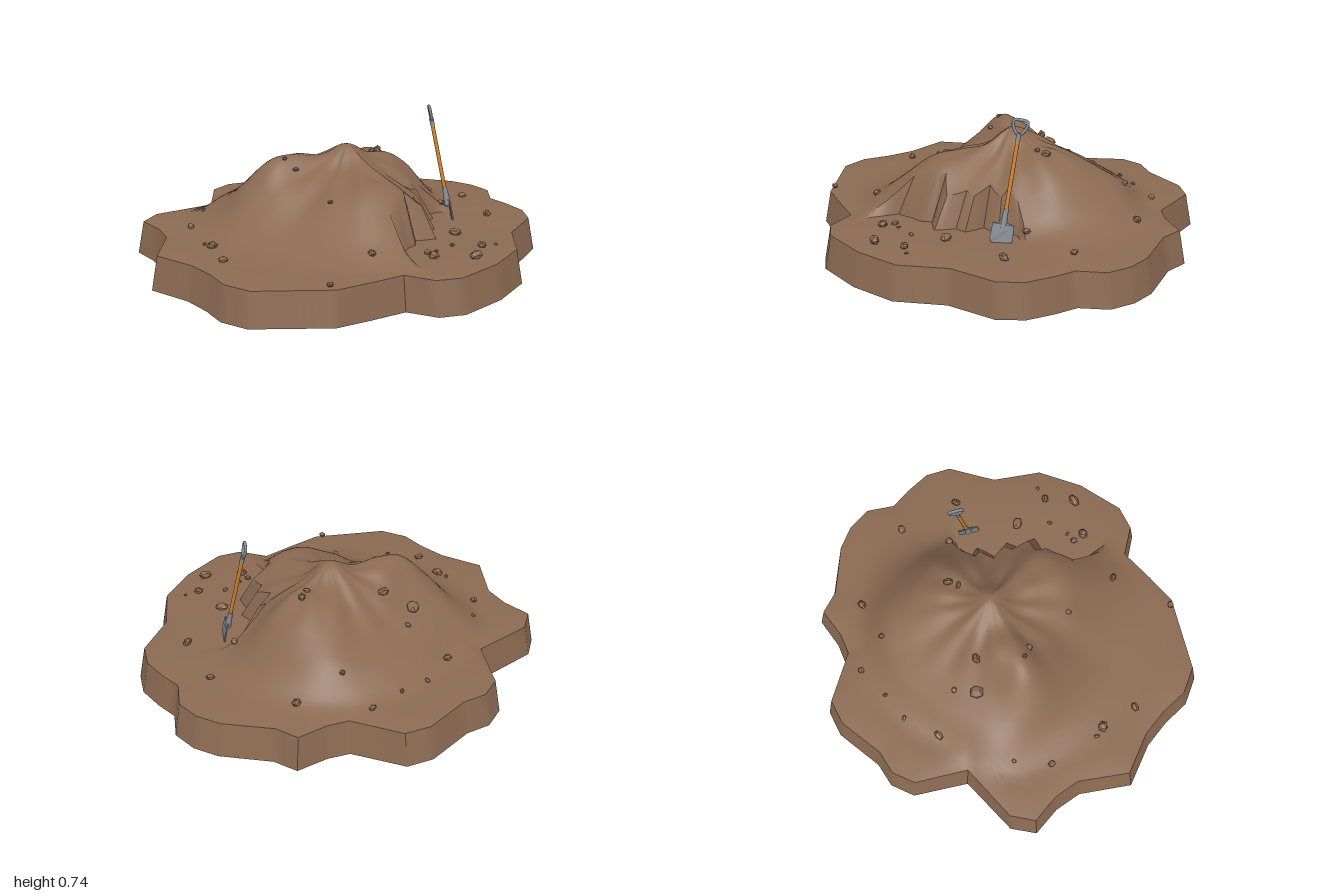
import * as THREE from 'three';
import { toCreasedNormals } from 'three/addons/utils/BufferGeometryUtils.js';

const earth = new THREE.MeshStandardMaterial({ color: 0x8b6a52, side: THREE.DoubleSide });
earth.name = 'earth brown';
const wood = new THREE.MeshStandardMaterial({ color: 0xd0802c });
wood.name = 'handle orange';
const metal = new THREE.MeshStandardMaterial({ color: 0x858b93, side: THREE.DoubleSide });
metal.name = 'steel grey';

// Summit position: everything radial is measured from here
const CX = 0.05, CZ = -0.03, DEG = Math.PI / 180;

// Wavy outer edge of the slab at y = 0 (x, z)
const outline = [
  [-0.12, -0.945], [0, -0.915], [0.25, -0.935], [0.375, -0.89], [0.5, -0.65], [0.6, -0.605], [0.755, -0.575],
  [0.79, -0.455], [0.95, -0.25], [0.995, -0.13], [0.998, 0], [0.915, 0.12], [0.92, 0.235], [0.91, 0.375],
  [0.845, 0.49], [0.62, 0.61], [0.465, 0.81], [0.245, 0.905], [0, 0.945], [-0.12, 0.9], [-0.2, 0.765],
  [-0.385, 0.75], [-0.555, 0.73], [-0.875, 0.515], [-0.93, 0.38], [-0.92, 0.235], [-0.93, 0.085], [-1, -0.13],
  [-0.84, -0.34], [-0.81, -0.475], [-0.815, -0.63], [-0.705, -0.7], [-0.395, -0.68], [-0.24, -0.905]];

// Mound heights every 22.5 degrees from +x towards +z, at radii 0.13, 0.26, 0.39, 0.52, 0.65
const profiles = [
  [0.50, 0.47, 0.385, 0.24, 0.19], [0.48, 0.42, 0.31, 0.20, 0.185],
  [0.47, 0.38, 0.31, 0.24, 0.19], [0.47, 0.41, 0.34, 0.28, 0.20],
  [0.505, 0.46, 0.43, 0.32, 0.22], [0.48, 0.455, 0.43, 0.34, 0.24],
  [0.47, 0.43, 0.38, 0.28, 0.21], [0.47, 0.42, 0.34, 0.25, 0.20],
  [0.495, 0.455, 0.41, 0.30, 0.215], [0.51, 0.53, 0.505, 0.38, 0.235],
  [0.505, 0.49, 0.40, 0.33, 0.26], [0.505, 0.435, 0.35, 0.29, 0.195],
  [0.51, 0.42, 0.34, 0.27, 0.19], [0.50, 0.43, 0.36, 0.29, 0.195],
  [0.50, 0.47, 0.41, 0.33, 0.205], [0.50, 0.48, 0.415, 0.29, 0.20]];

// Foot of the jagged dug-out wall (degrees, radius)
const cut = [[24.9, 0.46], [32.5, 0.395], [37.5, 0.43], [50, 0.375], [57.5, 0.46], [65, 0.45],
  [72.5, 0.53], [82.5, 0.475], [87.5, 0.52], [92.5, 0.53], [100.5, 0.58]];

const spline = (a, b, c, d, t) =>
  b + 0.5 * t * (c - a + t * (2 * a - 5 * b + 4 * c - d + t * (3 * (b - c) + d - a)));

function moundHeight(deg, r) {
  const s = deg / 22.5, i = Math.floor(s), u = Math.min(r / 0.13, 7.999), k = Math.floor(u);
  const at = (n) => {
    if (n === 0) return 0.565;
    if (n < 0) n = -n;
    if (n > 5) return 0.18;
    const row = (m) => profiles[(m + 32) % 16][n - 1];
    return spline(row(i - 1), row(i), row(i + 1), row(i + 2), s - i);
  };
  const h = spline(at(k - 1), at(k), at(k + 1), at(k + 2), u - k);
  // shallow gullies running down from the summit
  const gully = 0.005 * Math.cos(deg * DEG * 13) * Math.sin(Math.PI * Math.min(1, r / 0.5)) ** 2;
  return Math.max(0.178, h + gully);
}

function cutRadius(deg) {
  for (let i = 0; i + 1 < cut.length; i++) {
    const [a, ra] = cut[i], [b, rb] = cut[i + 1];
    if (deg >= a && deg <= b) return ra + (rb - ra) * (deg - a) / (b - a);
  }
  return null;
}

function edgeRadius(deg) {
  const dx = Math.cos(deg * DEG), dz = Math.sin(deg * DEG);
  let best = 0;
  outline.forEach(([x, z], i) => {
    const [x2, z2] = outline[(i + 1) % outline.length];
    const ex = x2 - x, ez = z2 - z, px = x - CX, pz = z - CZ, det = dx * ez - dz * ex;
    const t = (px * ez - pz * ex) / det, s = (px * dz - pz * dx) / det;
    if (t > 0 && s > -1e-6 && s < 1 + 1e-6) best = Math.max(best, t);
  });
  return best;
}

function toPolar(x, z) {
  return [(Math.atan2(z - CZ, x - CX) / DEG + 360) % 360, Math.hypot(x - CX, z - CZ)];
}

function surfaceHeight(x, z) {
  const [deg, r] = toPolar(x, z), wall = cutRadius(deg);
  return wall && r > wall ? 0.18 : moundHeight(deg, r);
}

// Skin a set of radial columns, each a list of points from inside to outside
function skin(columns, crease) {
  const pos = [], idx = [], n = columns[0].length;
  columns.forEach((c) => c.forEach((p) => pos.push(...p)));
  columns.forEach((_, j) => {
    const j2 = (j + 1) % columns.length;
    for (let k = 0; k + 1 < n; k++) {
      const a = j * n + k, b = j2 * n + k;
      if (columns[j][k][0] !== columns[j2][k][0] || columns[j][k][2] !== columns[j2][k][2]) idx.push(a, b, a + 1);
      idx.push(b, b + 1, a + 1);
    }
  });
  const g = new THREE.BufferGeometry();
  g.setAttribute('position', new THREE.Float32BufferAttribute(pos, 3));
  g.setIndex(idx);
  return toCreasedNormals(g, crease);
}

function add(parent, name, geometry, material) {
  const mesh = new THREE.Mesh(geometry, material);
  mesh.name = name;
  parent.add(mesh);
  return mesh;
}

function buildTerrain(root) {
  // every corner of the rim, plus regular directions that do not crowd the corners
  const corners = outline.map(([x, z]) => toPolar(x, z)[0]);
  const regular = [...Array(144).keys()].map((i) => i * 2.5);
  const angles = corners.concat(regular.filter((a) => corners.every((c) => Math.abs(a - c) > 0.8)));
  angles.sort((a, b) => a - b);
  const top = [], skirt = [];
  for (const deg of angles) {
    const point = (r, y) => [CX + r * Math.cos(deg * DEG), y, CZ + r * Math.sin(deg * DEG)];
    // away from the cut the ring radius eases from one end of the wall to the other
    const wall = cutRadius(deg), outer = wall || 0.58 - 0.12 * ((deg + 260) % 360) / 285, inner = outer - 0.085;
    const edge = edgeRadius(deg), rim = edge - 0.032, column = [];
    for (let k = 0; k <= 18; k++) column.push(point(inner * k / 18, moundHeight(deg, inner * k / 18)));
    for (let k = 0; k <= 12; k++) {
      const t = k / 12, r = outer + (rim - outer) * t;
      const y = wall ? 0.18 : moundHeight(deg, r);
      column.push(point(r, y + (0.165 - y) * t ** 4));
    }
    top.push(column);
    skirt.push([point(rim, 0.165), point(edge, 0)]);
  }
  add(root, 'moundAndGround', skin(top, 0.6), earth);
  add(root, 'slabSkirt', skin(skirt, 0.75), earth);
}

// Stones (x, z, size)
const stones = [
  [-0.16, -0.63, 0.026], [0.03, -0.68, 0.014], [0.18, -0.66, 0.012], [0.36, -0.65, 0.018], [0.38, -0.47, 0.02],
  [0.6, -0.4, 0.024], [-0.085, -0.435, 0.015], [-0.18, -0.375, 0.034], [-0.08, -0.27, 0.028], [-0.66, -0.355, 0.021],
  [-0.52, -0.475, 0.012], [-0.72, -0.045, 0.026], [-0.73, -0.1, 0.014], [-0.77, 0.14, 0.023], [-0.26, -0.12, 0.013],
  [-0.235, -0.06, 0.017], [0.23, -0.065, 0.018], [0.28, -0.085, 0.024], [0.75, 0.04, 0.022], [0.51, 0.15, 0.02],
  [0.65, 0.345, 0.026], [0.33, 0.475, 0.032], [0.05, 0.605, 0.018], [0.04, 0.665, 0.025], [0.1, 0.61, 0.011],
  [0.21, 0.595, 0.014], [0.32, 0.68, 0.022], [0.39, 0.7, 0.01], [0.2, 0.775, 0.033], [-0.245, 0.57, 0.021],
  [-0.235, 0.23, 0.016], [-0.55, 0.675, 0.017]];

function buildStones(root) {
  const group = new THREE.Group();
  group.name = 'looseStones';
  stones.forEach(([x, z, s], i) => {
    const stone = add(group, 'stone', new THREE.IcosahedronGeometry(s), earth);
    stone.scale.set(1.1, 0.6 + 0.1 * (i % 3), 0.7 + 0.1 * (i % 4));
    stone.rotation.set(0.3 * Math.sin(i * 5), i * 1.9, 0.3 * Math.cos(i * 3));
    stone.position.set(x, surfaceHeight(x, z) + s * 0.3, z);
  });
  root.add(group);
}

function buildShovel(root) {
  const shovel = new THREE.Group();
  shovel.name = 'shovel';
  // pointed blade, slightly dished
  const bladeShape = new THREE.Shape();
  bladeShape.moveTo(-0.05, 0.08).lineTo(-0.053, 0.01).quadraticCurveTo(-0.045, -0.025, 0, -0.045);
  bladeShape.quadraticCurveTo(0.045, -0.025, 0.053, 0.01).lineTo(0.05, 0.08).lineTo(0, 0.09);
  const blade = new THREE.ExtrudeGeometry(bladeShape, { depth: 0.006, bevelEnabled: false });
  const p = blade.attributes.position;
  for (let i = 0; i < p.count; i++) p.setZ(i, p.getZ(i) - 0.003 + 4 * p.getX(i) ** 2);
  blade.computeVertexNormals();
  add(shovel, 'blade', blade, metal);
  const rod = (name, r1, r2, y0, y1, mat) => {
    add(shovel, name, new THREE.CylinderGeometry(r2, r1, y1 - y0, 12), mat).position.y = (y0 + y1) / 2;
  };
  rod('bladeSocket', 0.017, 0.011, 0.06, 0.15, metal);
  rod('handle', 0.0095, 0.0095, 0.14, 0.475, wood);
  rod('gripSocket', 0.011, 0.011, 0.468, 0.505, metal);
  // D-shaped grip
  const loop = new THREE.CatmullRomCurve3([[0, 0.495], [0.018, 0.51], [0.033, 0.543], [0.03, 0.561],
    [0, 0.565], [-0.03, 0.561], [-0.033, 0.543], [-0.018, 0.51]].map(([x, y]) => new THREE.Vector3(x, y, 0)), true);
  add(shovel, 'gripLoop', new THREE.TubeGeometry(loop, 40, 0.0075, 8, true), metal);

  // lean the shovel back against the mound
  const foot = new THREE.Vector3(0.475, 0.185, 0.265);
  const up = new THREE.Vector3(0.43, 0.74, 0.135).sub(foot).normalize();
  const side = new THREE.Vector3(0.55, 0, -0.83);
  side.addScaledVector(up, -side.dot(up)).normalize();
  const face = new THREE.Vector3().crossVectors(side, up);
  shovel.quaternion.setFromRotationMatrix(new THREE.Matrix4().makeBasis(side, up, face));
  shovel.position.copy(foot);
  root.add(shovel);
}

export function createModel() {
  const root = new THREE.Group();
  root.name = 'dirtMound';
  buildTerrain(root);
  buildStones(root);
  buildShovel(root);
  return root;
}
